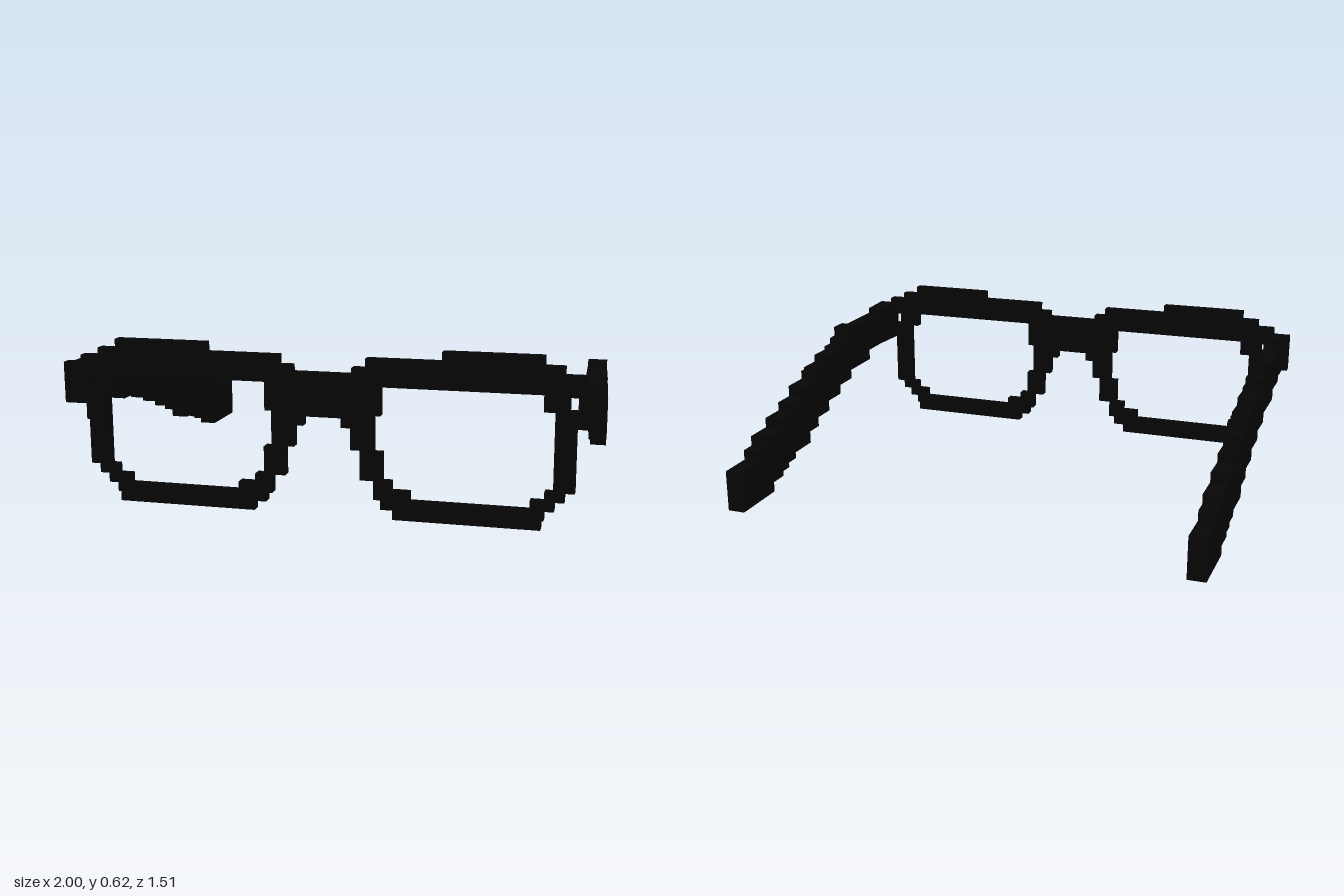
import * as THREE from 'three';

// Rectilinear path: from a start point, values are alternating new x and new y
function steps(x, y, values) {
  const pts = [new THREE.Vector2(x, y)];
  values.forEach((v, i) => {
    if (i % 2 === 0) x = v; else y = v;
    pts.push(new THREE.Vector2(x, y));
  });
  return pts;
}
const flip = (pts) => pts.map((p) => new THREE.Vector2(-p.x, p.y)).reverse();

export function createModel() {
  const model = new THREE.Group();
  model.name = 'eyeglasses';
  const black = new THREE.MeshStandardMaterial({ color: 0x060606 });
  black.name = 'black plastic';

  function add(name, geometry, parent = model) {
    const mesh = new THREE.Mesh(geometry, black);
    mesh.name = name;
    parent.add(mesh);
    return mesh;
  }

  // Front frame: stepped half outline, mirrored, with lens and hinge openings
  const half = steps(0, 0.525, [
    0.11, 0.55, 0.16, 0.585, 0.435, 0.62, 0.79, 0.585, 0.86, 0.555, 0.93, 0.525,
    1, 0.37, 0.905, 0.14, 0.87, 0.105, 0.835, 0.07, 0.8, 0.035, 0.79, 0, 0.26, 0.035,
    0.215, 0.07, 0.19, 0.14, 0.14, 0.25, 0.105, 0.33, 0.07, 0.365, 0,
  ]).slice(1, -1);
  // Counter-clockwise outline, so that the walls of the openings face inward
  const frame = new THREE.Shape([...half, ...flip(half)].reverse());
  const lens = steps(0.215, 0.485, [
    0.79, 0.425, 0.83, 0.14, 0.8, 0.105, 0.75, 0.07, 0.32, 0.105, 0.255, 0.14,
    0.22, 0.245, 0.19, 0.38, 0.215,
  ]);
  const gap = steps(0.88, 0.43, [0.912, 0.48, 0.88]);
  for (const hole of [lens, gap]) {
    frame.holes.push(new THREE.Path(hole), new THREE.Path(flip(hole)));
  }
  const frameGeo = new THREE.ExtrudeGeometry(frame, { depth: 0.04, bevelEnabled: false });
  frameGeo.translate(0, 0, 0.716);
  add('frontFrame', frameGeo);

  // Temple side profile, drawn with -z to the right
  const profile = steps(-0.55, 0.365, [
    -0.55, 0.505, -0.295, 0.52, -0.215, 0.48, -0.17, 0.455, -0.115, 0.44, -0.015, 0.41,
    0.085, 0.4, 0.11, 0.365, 0.225, 0.32, 0.32, 0.285, 0.43, 0.245, 0.55, 0.205,
    0.61, 0.165, 0.75, 0, 0.51, 0.04, 0.43, 0.06, 0.38, 0.08, 0.32, 0.105,
    0.185, 0.155, 0.105, 0.195, 0, 0.24, -0.115, 0.28, -0.23, 0.32, -0.43, 0.365,
  ]).slice(1);

  // Tapered block from zBack to zFront with its own x range at each end
  function taper(zBack, zFront, back, front, y0, y1) {
    const geo = new THREE.BoxGeometry(1, 1, 1);
    const p = geo.attributes.position;
    for (let i = 0; i < p.count; i++) {
      const ends = p.getZ(i) > 0 ? front : back;
      p.setXYZ(i, p.getX(i) > 0 ? ends[1] : ends[0],
        p.getY(i) > 0 ? y1 : y0, p.getZ(i) > 0 ? zFront : zBack);
    }
    geo.computeVertexNormals();
    return geo;
  }

  for (const side of [1, -1]) {
    const temple = new THREE.Group();
    temple.name = side > 0 ? 'leftTemple' : 'rightTemple';
    model.add(temple);

    // Arm leans slightly inward towards its tip
    const arm = new THREE.ExtrudeGeometry(new THREE.Shape(profile), { depth: 0.07, bevelEnabled: false });
    arm.translate(0, 0, -0.035);
    arm.rotateY(Math.PI / 2);
    const p = arm.attributes.position;
    for (let i = 0; i < p.count; i++) {
      p.setX(i, p.getX(i) + side * (0.92 + 0.023 * (p.getZ(i) + 0.75)));
    }
    arm.computeVertexNormals();
    add('arm', arm, temple);

    // The two hinges differ: one flares outward, the other bends inward
    if (side > 0) {
      add('hingeArm', taper(0.55, 0.717, [0.915, 0.985], [0.905, 0.993], 0.365, 0.505), temple);
      add('hingeCap', taper(0.583, 0.717, [0.915, 0.985], [0.905, 0.993], 0.5, 0.528), temple);
    } else {
      add('hingeArm', taper(0.55, 0.655, [-0.985, -0.915], [-0.932, -0.9], 0.365, 0.505), temple);
      add('hingeBlock', taper(0.65, 0.717, [-0.975, -0.905], [-0.975, -0.905], 0.365, 0.525), temple);
      add('hingeKnuckle', taper(0.652, 0.717, [-0.935, -0.9], [-0.935, -0.9], 0.3, 0.37), temple);
    }
  }
  return model;
}
